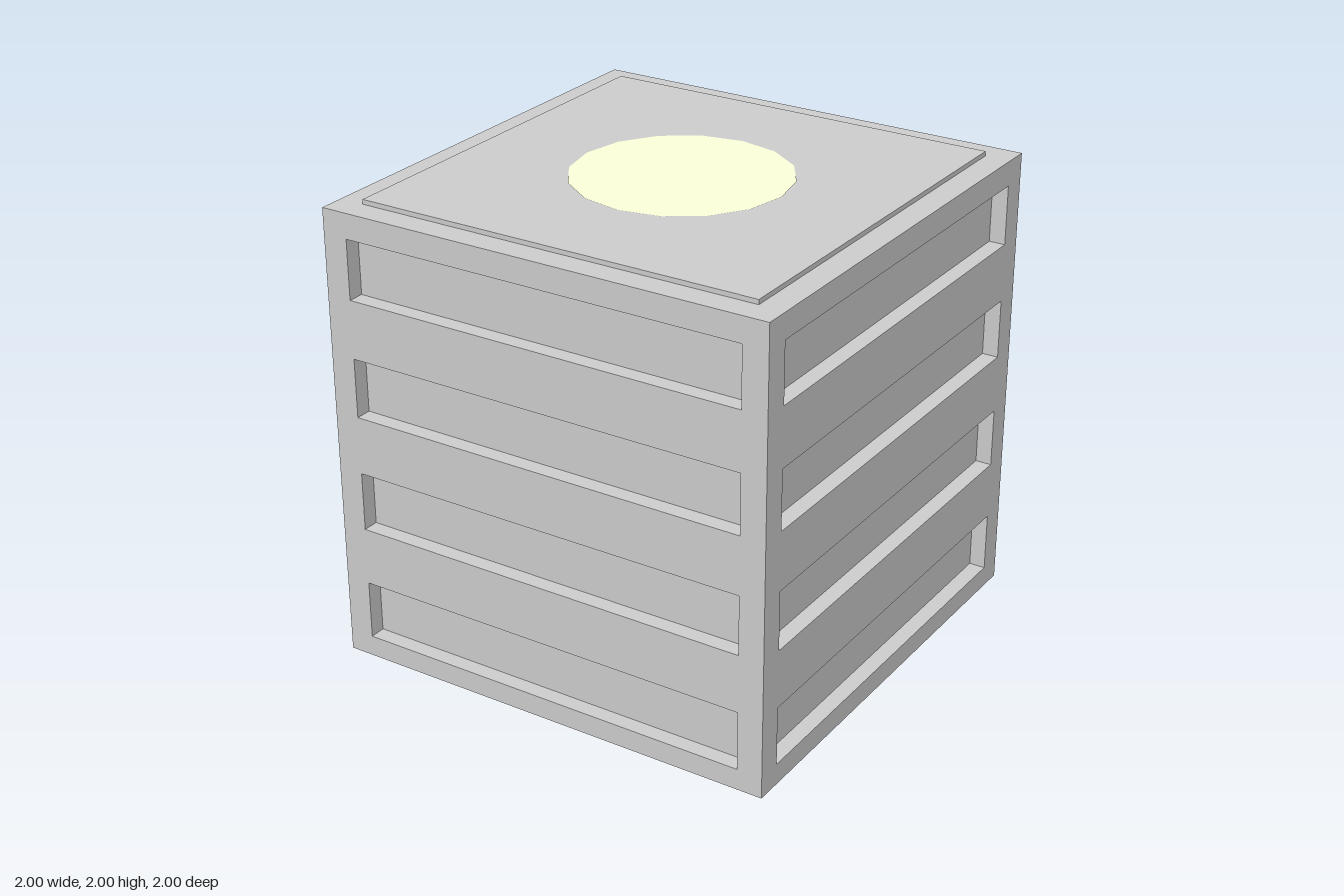
import * as THREE from 'three';
import { mergeGeometries } from 'three/addons/utils/BufferGeometryUtils.js';

const BODY_TOP = 1.98;
const INNER = 0.89; // half width of slots, lid and base recess

// Rectangle outline around a centre
function rectPoints({ x = 0, y = 0, w, h }) {
  return [[-1, -1], [1, -1], [1, 1], [-1, 1]]
    .map(([sx, sy]) => new THREE.Vector2(x + sx * w / 2, y + sy * h / 2));
}

// Open box seen from inside: walls and floor of a recess behind z = 0
function pocket({ x = 0, y = 0, w, h }, depth) {
  const box = new THREE.BoxGeometry(w, h, depth);
  const index = Array.from(box.index.array);
  index.splice(24, 6); // leave the +z side open
  box.setIndex(index.reverse()); // turn the faces inward
  const geometry = box.toNonIndexed();
  geometry.computeVertexNormals();
  return geometry.translate(x, y, -depth / 2);
}

// Flat face in the xy plane with recessed rectangles
function recessedPanel(outline, recesses, depth) {
  const shape = new THREE.Shape(rectPoints(outline));
  for (const r of recesses) shape.holes.push(new THREE.Path(rectPoints(r)));
  const face = new THREE.ShapeGeometry(shape).toNonIndexed();
  return mergeGeometries([face, ...recesses.map((r) => pocket(r, depth))]);
}

export function createModel() {
  const model = new THREE.Group();
  const grey = new THREE.MeshStandardMaterial({ color: 0xcccccc });
  const pale = new THREE.MeshStandardMaterial({ color: 0xfafdd8 });
  const add = (name, geometry, material = grey) => {
    const mesh = new THREE.Mesh(geometry, material);
    mesh.name = name;
    model.add(mesh);
    return mesh;
  };

  // Four sides, each with four horizontal slots
  const slots = [];
  for (let i = 0; i < 4; i++) slots.push({ y: 0.22 + i * 0.508, w: 2 * INNER, h: 0.256 });
  const side = recessedPanel({ y: BODY_TOP / 2, w: 2, h: BODY_TOP }, slots, 0.07);
  side.translate(0, 0, 1);
  ['frontSide', 'leftSide', 'backSide', 'rightSide'].forEach((name, i) => {
    add(name, side).rotation.y = i * Math.PI / 2;
  });

  // Underside with a shallow square recess
  const base = recessedPanel({ w: 2, h: 2 }, [{ w: 2 * INNER, h: 2 * INNER }], 0.03);
  add('base', base.rotateX(Math.PI / 2));

  // Top face and raised lid
  add('topFace', new THREE.PlaneGeometry(2, 2).rotateX(-Math.PI / 2).translate(0, BODY_TOP, 0));
  const lidHeight = 2 - BODY_TOP;
  add('lid', new THREE.BoxGeometry(2 * INNER, lidHeight, 2 * INNER)
    .translate(0, BODY_TOP + lidHeight / 2, 0));

  // Pale sixteen-sided disc on the lid
  add('lightDisc', new THREE.CircleGeometry(0.457, 16).rotateX(-Math.PI / 2).translate(0, 2.002, 0), pale);

  return model;
}
